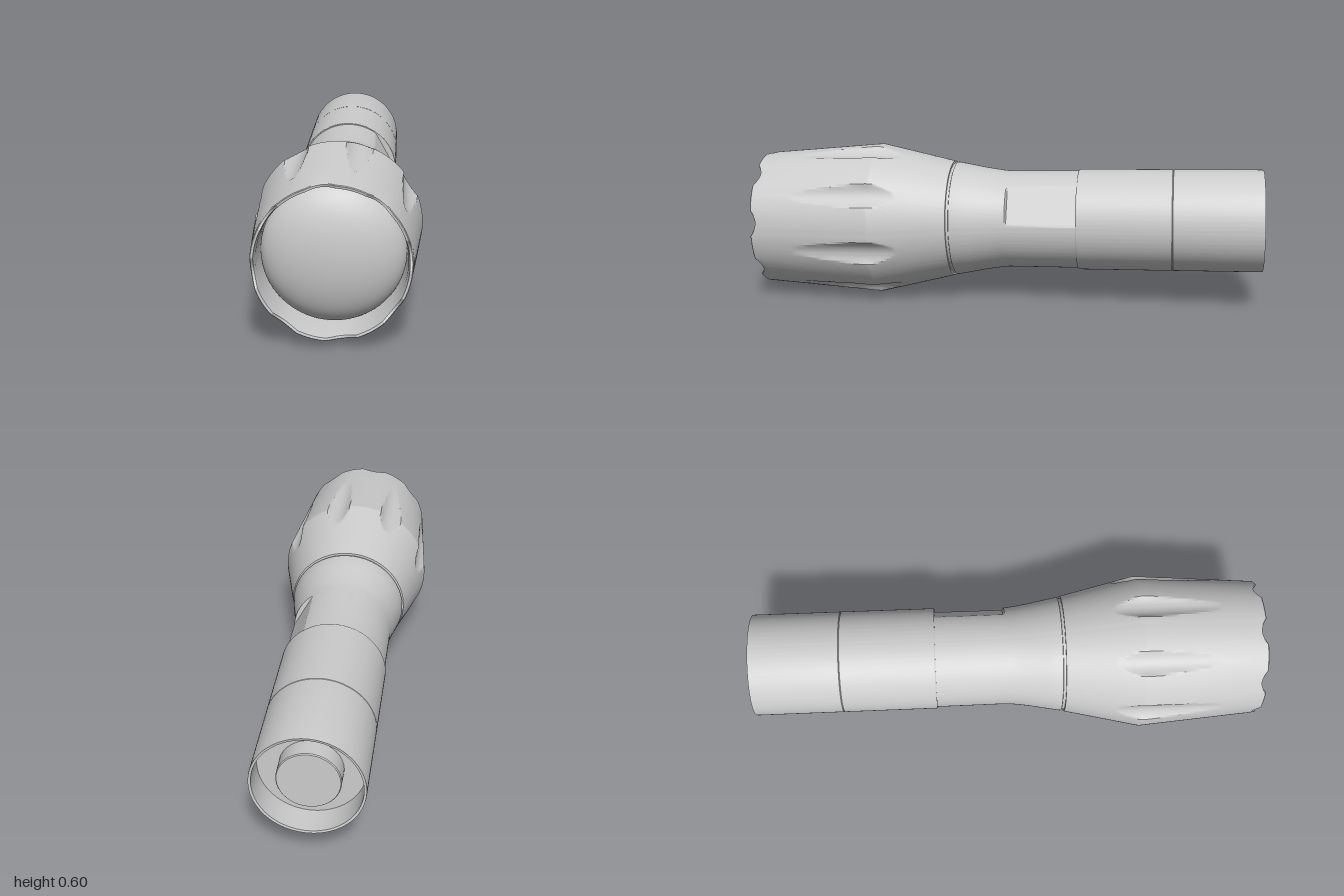
import * as THREE from 'three';
import { toCreasedNormals } from 'three/addons/utils/BufferGeometryUtils.js';

const SEGS = 192;
const material = new THREE.MeshStandardMaterial({ color: 0xcccccc });

// Signed angle from theta to the nearest of `count` repeats starting at `phase`
function nearest(theta, phase, count) {
  const step = (Math.PI * 2) / count;
  const a = theta - phase;
  return a - Math.round(a / step) * step;
}

// Turns a [radius, z] profile about z; shape(r, z, theta) may alter each point
function turned(name, profile, shape = (r, z) => [r, z]) {
  const pos = [], index = [];
  profile.forEach(([r0, z0], i) => {
    for (let j = 0; j < SEGS; j++) {
      const t = (j / SEGS) * Math.PI * 2;
      const [r, z] = shape(r0, z0, t);
      pos.push(r * Math.cos(t), r * Math.sin(t), z);
      if (i === 0) continue;
      const k = (j + 1) % SEGS;
      const a = (i - 1) * SEGS + j, b = (i - 1) * SEGS + k;
      index.push(a, b, b + SEGS, a, b + SEGS, a + SEGS);
    }
  });
  const geo = new THREE.BufferGeometry();
  geo.setAttribute('position', new THREE.Float32BufferAttribute(pos, 3));
  geo.setIndex(index);
  const mesh = new THREE.Mesh(toCreasedNormals(geo, 0.25), material);
  mesh.name = name;
  return mesh;
}

// Thumb flat cut into the upper left of the neck
function neckShape(r, z, t) {
  const a = nearest(t, THREE.MathUtils.degToRad(29), 1);
  if (z > -0.005 || Math.abs(a) > 1) return [r, z];
  return [Math.min(r, 0.176 / Math.cos(a)), z];
}

// Eight round flutes around the head and eight shallow notches in its rim
function headShape(r, z, t) {
  const R = 0.07, d = 0.346;
  const a = nearest(t, THREE.MathUtils.degToRad(30), 8);
  const s = d * Math.sin(a);
  if (z > 0.35 && z < 0.83 && Math.abs(s) < R) {
    r = Math.min(r, d * Math.cos(a) - Math.sqrt(R * R - s * s));
  }
  if (z > 0.97) {
    const n = Math.abs(nearest(t, THREE.MathUtils.degToRad(7.5), 8)) / 0.2;
    if (n < 1) z -= 0.022 * Math.cos((n * Math.PI) / 2);
  }
  return [r, z];
}

export function createModel() {
  const light = new THREE.Group();
  light.name = 'flashlight';

  // Tail cap with a recessed end
  light.add(turned('tailCap', [
    [0, -0.89], [0.188, -0.89], [0.19, -0.995], [0.199, -0.997], [0.2, -0.99],
    [0.2, -0.652], [0.197, -0.65],
  ]));

  // Battery tube, narrow neck and collar
  light.add(turned('batteryTube', [
    [0.197, -0.65], [0.2, -0.648], [0.2, -0.284], [0.198, -0.28], [0.17, -0.28],
  ]));
  light.add(turned('neck', [
    [0.194, -0.282], [0.193, -0.01], [0.193, -0.004], [0.194, 0.01], [0.199, 0.05],
    [0.207, 0.1], [0.217, 0.15], [0.227, 0.205], [0.227, 0.21], [0.222, 0.212], [0.222, 0.225],
  ], neckShape));

  // Fluted head, rim and inner wall
  const head = [[0.22, 0.222], [0.231, 0.222], [0.233, 0.23]];
  for (let z = 0.36; z < 0.519; z += 0.01) head.push([0.233 + ((z - 0.23) / 0.29) * 0.068, z]);
  for (let z = 0.52; z < 0.84; z += 0.01) head.push([0.301 - ((z - 0.52) / 0.48) * 0.037, z]);
  head.push([0.2672, 0.96], [0.2645, 0.995], [0.262, 0.998], [0.2535, 0.996], [0.249, 0.955], [0.247, 0.82], [0, 0.82]);
  light.add(turned('head', head, headShape));

  // Domed lens set back inside the rim
  const lens = new THREE.Mesh(
    new THREE.SphereGeometry(0.245, 64, 24, 0, Math.PI * 2, 0, Math.PI / 2), material);
  lens.name = 'lens';
  lens.rotation.x = Math.PI / 2;
  lens.scale.y = 0.45;
  lens.position.z = 0.845;
  light.add(lens);

  // Tail switch button
  light.add(turned('tailButton', [
    [0, -0.965], [0.109, -0.965], [0.112, -0.961], [0.112, -0.885],
  ]));

  // The whole light lies with a slight tilt
  light.rotation.set(0.0265, 0.015, 0);
  light.position.set(-0.01, 0.318, 0);

  const model = new THREE.Group();
  model.name = 'model';
  model.add(light);
  return model;
}
